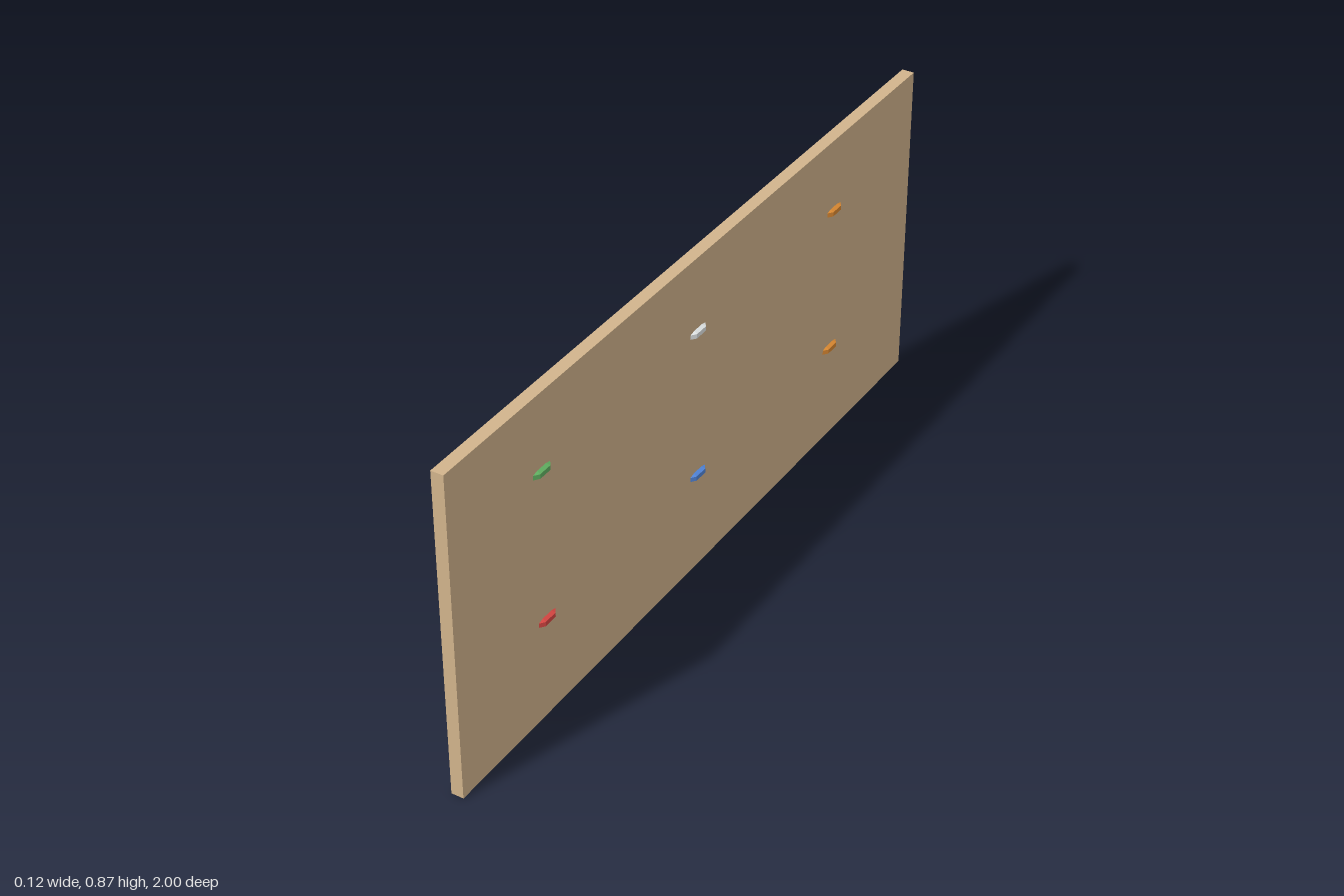
import * as THREE from 'three';

const mat = (name, color, flatShading = false) => {
  const m = new THREE.MeshStandardMaterial({ color, flatShading });
  m.name = name;
  return m;
};

export function createModel() {
  const tan = mat('tan board', 0xd2b48c);
  const grey = mat('pale grey', 0xcbd0d4);
  const cream = mat('cream', 0xcfcd9c);
  const green = mat('green', 0x62b262, true);
  const red = mat('red', 0xd94743, true);
  const white = mat('white', 0xe2e6e6, true);
  const blue = mat('blue', 0x5287dc, true);
  const orange = mat('orange', 0xdc8a32, true);

  const model = new THREE.Group();
  model.name = 'knobBoard';
  const add = (name, geometry, material, x, y, z) => {
    const mesh = new THREE.Mesh(geometry, material);
    mesh.name = name;
    mesh.position.set(x, y, z);
    model.add(mesh);
  };

  // Upright backing board
  add('board', new THREE.BoxGeometry(0.032, 0.866, 2), tan, 0.035, 0.433, 0);

  // Raised panels on the -x side
  const panel = new THREE.BoxGeometry(0.013, 0.3, 0.466);

  // Flattened ten-sided knobs that pass through the board
  const knob = new THREE.SphereGeometry(0.068, 10, 5);
  knob.rotateY(Math.PI / 2);
  knob.scale(1, 0.019 / 0.068, 0.97);

  const columns = [
    { z: 0.663, panel: grey, knobs: [red, green] },
    { z: 0.031, panel: cream, knobs: [blue, white] },
    { z: -0.603, panel: grey, knobs: [orange, orange] },
  ];
  for (const c of columns) {
    [0.25, 0.65].forEach((y, row) => {
      add('panel', panel, c.panel, 0.0125, y, c.z);
      add('knob', knob, c.knobs[row], -0.001, y + 0.019, c.z);
    });
  }
  return model;
}
